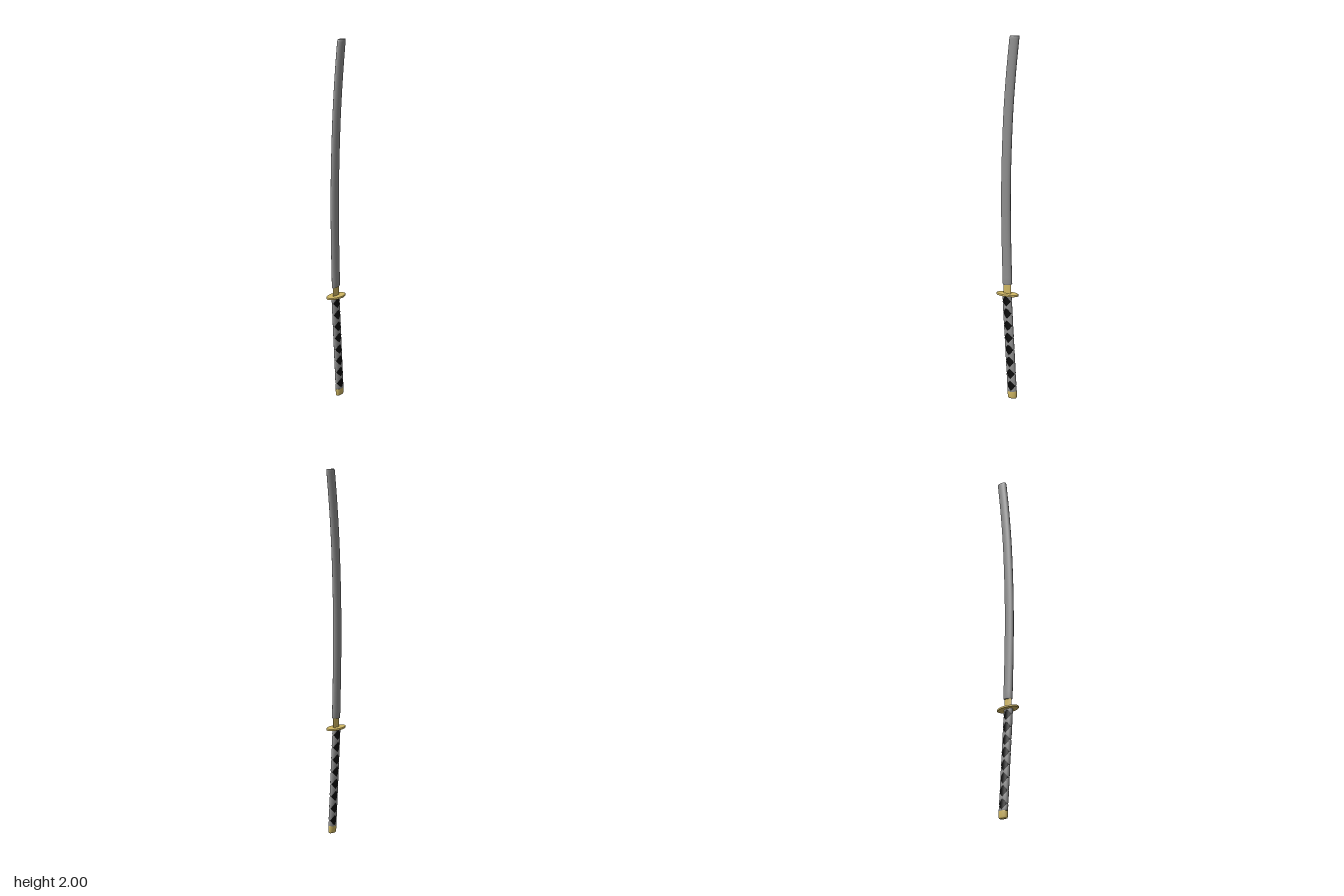
import * as THREE from 'three';

const mat = (name, color) => {
  const m = new THREE.MeshStandardMaterial({ color });
  m.name = name;
  return m;
};

// Closed skin through rows of points; point(row, angle) returns [x, y, z], rows run upward.
function loft(rows, point, { caps = true, sides = 40 } = {}) {
  const pos = [], index = [];
  const addRing = row => {
    const start = pos.length / 3;
    for (let i = 0; i < sides; i++) pos.push(...point(row, (i / sides) * Math.PI * 2));
    return start;
  };
  rows.forEach(addRing);
  for (let r = 0; r < rows.length - 1; r++) {
    for (let i = 0; i < sides; i++) {
      const a = r * sides + i, b = r * sides + (i + 1) % sides;
      index.push(a, a + sides, b, b, a + sides, b + sides);
    }
  }
  if (caps) {
    // Separate cap vertices keep the end edges crisp
    const low = addRing(rows[0]);
    const high = addRing(rows[rows.length - 1]);
    for (let i = 1; i < sides - 1; i++) {
      index.push(low, low + i, low + i + 1, high, high + i + 1, high + i);
    }
  }
  const g = new THREE.BufferGeometry();
  g.setAttribute('position', new THREE.Float32BufferAttribute(pos, 3));
  g.setIndex(index);
  g.computeVertexNormals();
  return g;
}

// Oval section: row = [centreX, y, halfWidth, halfDepth, tilt]
const oval = ([cx, y, rx, rz, tilt = 0], a) => {
  const x = Math.cos(a) * rx;
  return [cx + x, y + x * tilt, Math.sin(a) * rz];
};

export function createModel() {
  const grey = mat('lacquer grey', 0x909090);
  const gold = mat('pale gold', 0xd2b965);
  const black = mat('black', 0x080808);

  const model = new THREE.Group();
  model.name = 'sheathedSword';
  const add = (name, geometry, material, parent = model) => {
    const mesh = new THREE.Mesh(geometry, material);
    mesh.name = name;
    parent.add(mesh);
    return mesh;
  };

  // Curved scabbard
  const spine = new THREE.CatmullRomCurve3([
    [-0.004, 0.652], [-0.010, 0.85], [-0.0135, 1.05], [-0.0125, 1.25],
    [-0.006, 1.45], [0.003, 1.62], [0.02, 1.82], [0.0385, 1.985],
  ].map(([x, y]) => new THREE.Vector3(x, y, 0)));
  const rows = [[-0.004, 0.65, 0.0275, 0.0125, 0.12]];
  for (let i = 0; i <= 36; i++) {
    const p = spine.getPoint(i / 36);
    const tilt = i < 2 ? 0.12 - i * 0.06 : 0;
    rows.push([p.x, p.y + (i === 0 ? 0.003 : 0), 0.0295, 0.0148, tilt]);
  }
  rows.push([0.0405, 1.995, 0.029, 0.0145], [0.0415, 2, 0.027, 0.0125]);
  add('scabbard', loft(rows, oval), grey);

  // Thin collar between guard and scabbard
  add('bladeCollar', loft([
    [-0.005, 0.595, 0.0245, 0.0055], [-0.005, 0.67, 0.0245, 0.0055],
  ], oval), gold);

  // Oval guard
  add('guard', loft([
    [-0.004, 0.590, 0.066, 0.036], [-0.004, 0.592, 0.068, 0.038],
    [-0.004, 0.598, 0.068, 0.038], [-0.004, 0.600, 0.066, 0.036],
  ], oval, { sides: 56 }), gold);

  // Slightly leaning grip
  const bottom = 0.042, top = 0.592;
  const centre = y => 0.027 - 0.0345 * (y - bottom) / (top - bottom);
  const grip = new THREE.Group();
  grip.name = 'grip';
  model.add(grip);
  add('gripCore', loft([bottom, top].map(y => [centre(y), y, 0.0265, 0.0135]), oval), black, grip);

  // Wrap bands: narrow over each face and wide at the edges, leaving black diamonds
  const count = 8, pitch = (top - bottom) / count;
  const halfHeight = a => {
    const across = Math.abs(Math.asin(Math.cos(a))) / 1.25;
    return pitch / 2 - 0.029 * Math.max(0, 1 - across);
  };
  for (let k = 0; k <= count; k++) {
    const yc = bottom + k * pitch;
    const section = [[-1, 0], [-0.85, 0.0022], [0.85, 0.0022], [1, 0]];
    add('wrapBand', loft(section, ([v, out], a) => {
      const y = THREE.MathUtils.clamp(yc + v * halfHeight(a), bottom, top);
      return oval([centre(y), y, 0.0265 + out, 0.0135 + out], a);
    }, { caps: false, sides: 48 }), grey, grip);
  }

  // Rounded pommel cap
  add('pommel', loft([
    [0.028, 0.002, 0.021, 0.009, 0.06], [0.028, 0.004, 0.0255, 0.0125, 0.08],
    [0.028, 0.010, 0.028, 0.0148, 0.1], [0.0275, 0.038, 0.029, 0.016, 0.12],
    [0.027, 0.043, 0.0285, 0.0155, 0.12],
  ], oval), gold);

  return model;
}
